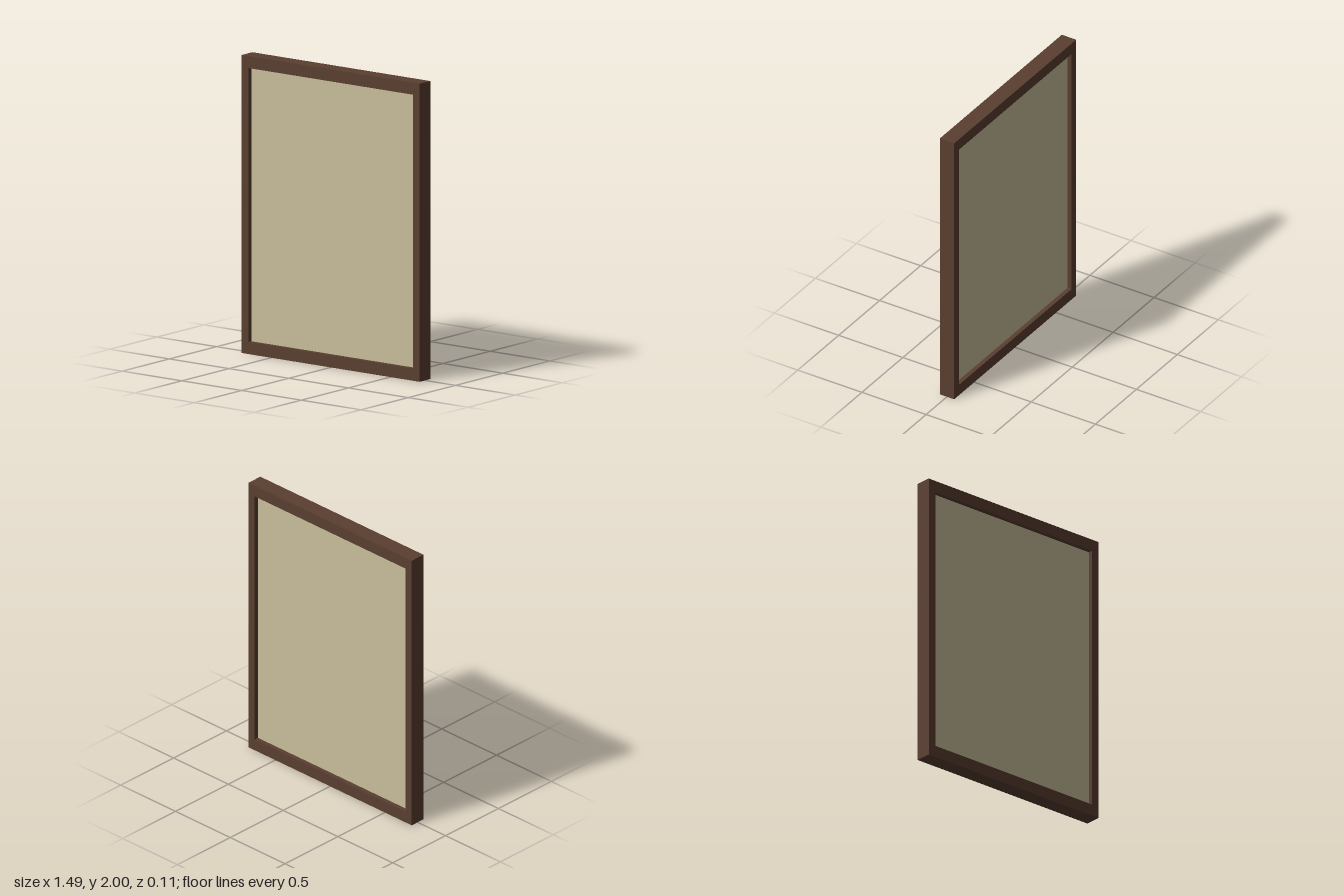
import * as THREE from 'three';

const WIDTH = 1.49, HEIGHT = 2, DEPTH = 0.112;
const STILE = 0.057, RAIL = 0.081, PANEL_DEPTH = 0.05;

export function createModel() {
  const group = new THREE.Group();
  group.name = 'framedPanel';

  const wood = new THREE.MeshStandardMaterial({ color: 0x5a3f31 });
  wood.name = 'dark brown wood';
  const paper = new THREE.MeshStandardMaterial({ color: 0xcabf9d });
  paper.name = 'beige panel';

  const addBox = (name, w, h, d, x, y, material) => {
    const mesh = new THREE.Mesh(new THREE.BoxGeometry(w, h, d), material);
    mesh.name = name;
    mesh.position.set(x, y, 0);
    group.add(mesh);
  };

  const innerWidth = WIDTH - 2 * STILE;

  // Full-height uprights on both sides
  for (const [name, side] of [['leftStile', 1], ['rightStile', -1]]) {
    addBox(name, STILE, HEIGHT, DEPTH, side * (WIDTH - STILE) / 2, HEIGHT / 2, wood);
  }

  // Rails fitted between the uprights
  addBox('bottomRail', innerWidth, RAIL, DEPTH, 0, RAIL / 2, wood);
  addBox('topRail', innerWidth, RAIL, DEPTH, 0, HEIGHT - RAIL / 2, wood);

  // Panel recessed equally from front and back
  addBox('panel', innerWidth, HEIGHT - 2 * RAIL, PANEL_DEPTH, 0, HEIGHT / 2, paper);

  return group;
}
